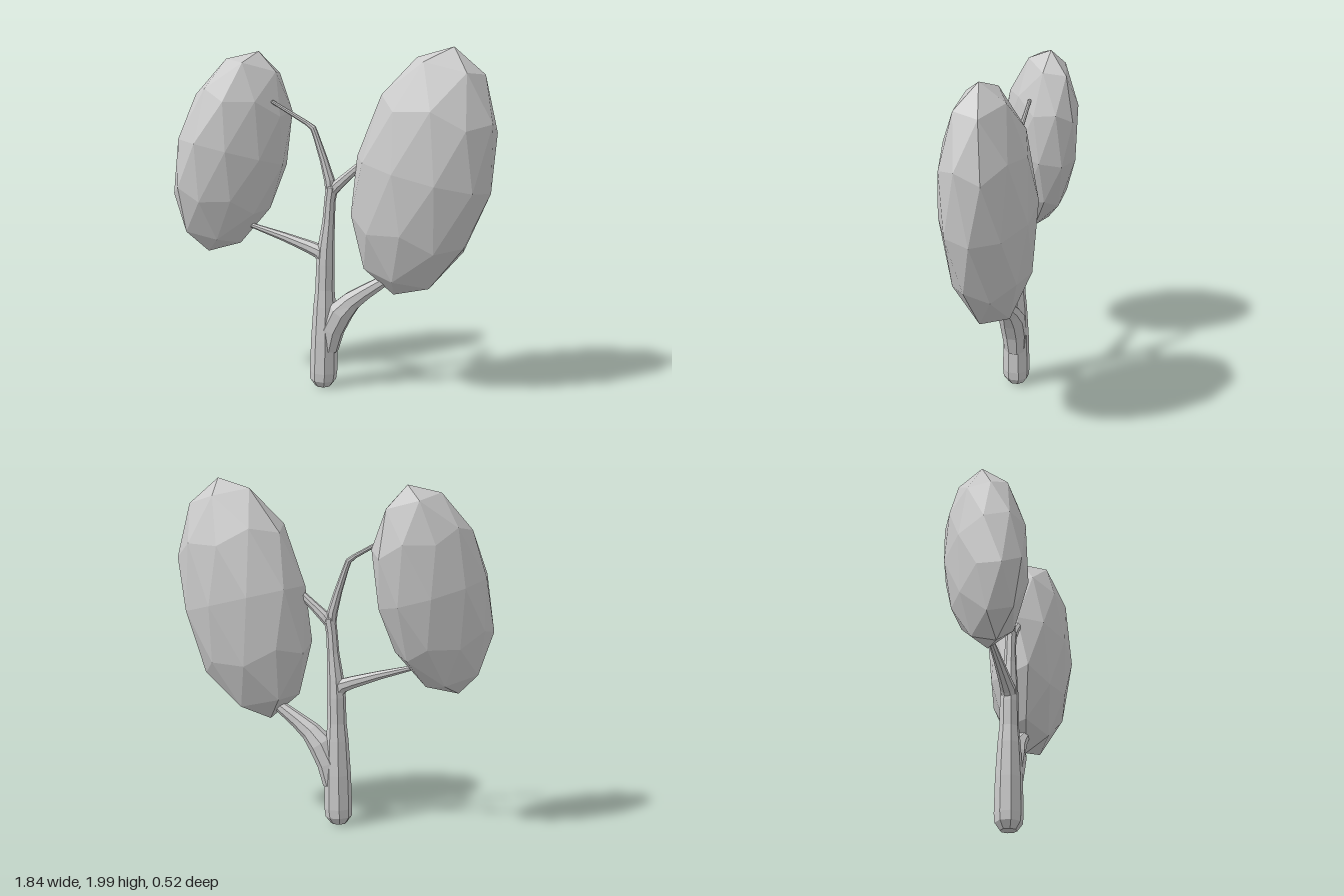
import * as THREE from 'three';

const material = new THREE.MeshStandardMaterial({ color: 0xcccccc, flatShading: true });
const SIDES = 8;

// Tapered limb lying in the xy plane: each point is [x, y, radius]
function limb(name, points) {
  const pos = [], index = [];
  points.forEach(([x, y, r], i) => {
    const a = points[Math.max(i - 1, 0)];
    const b = points[Math.min(i + 1, points.length - 1)];
    const len = Math.hypot(b[0] - a[0], b[1] - a[1]);
    const nx = (b[1] - a[1]) / len, ny = -(b[0] - a[0]) / len;
    for (let k = 0; k < SIDES; k++) {
      const t = ((k + 0.5) / SIDES) * Math.PI * 2;
      const u = r * 1.05 * Math.cos(t);
      pos.push(x + nx * u, y + ny * u, r * 1.05 * Math.sin(t));
      if (i === points.length - 1) continue;
      const p = i * SIDES + k, q = i * SIDES + (k + 1) % SIDES;
      index.push(p, p + SIDES, q, q, p + SIDES, q + SIDES);
    }
  });
  const geometry = new THREE.BufferGeometry();
  geometry.setAttribute('position', new THREE.Float32BufferAttribute(pos, 3));
  geometry.setIndex(index);
  geometry.computeVertexNormals();
  const mesh = new THREE.Mesh(geometry, material);
  mesh.name = name;
  return mesh;
}

// Faceted, flattened leaf mass with a vertex at each pole, leaning and then turned
function foliage(name, center, radii, lean, turn) {
  const geometry = new THREE.IcosahedronGeometry(1, 1);
  geometry.rotateX(-Math.atan((1 + Math.sqrt(5)) / 2));
  geometry.rotateY(Math.PI);
  geometry.scale(...radii);
  geometry.rotateZ(-lean);
  geometry.rotateY(turn);
  const mesh = new THREE.Mesh(geometry, material);
  mesh.name = name;
  mesh.position.set(...center);
  return mesh;
}

export function createModel() {
  const tree = new THREE.Group();
  tree.name = 'tree';

  // Trunk with rounded foot, narrowing above the first fork
  tree.add(limb('trunk', [
    [-0.065, 0.005, 0], [-0.065, 0.01, 0.045], [-0.065, 0.05, 0.073], [-0.062, 0.1, 0.077],
    [-0.058, 0.3, 0.073], [-0.055, 0.5, 0.062], [-0.053, 0.6, 0.053], [-0.05, 0.75, 0.051],
    [-0.045, 0.85, 0.046], [-0.03, 1.0, 0.034], [-0.022, 1.12, 0.031], [-0.01, 1.2, 0.034],
    [-0.005, 1.24, 0],
  ]));

  // Lower branches
  tree.add(limb('lowerLeftBranch', [
    [-0.05, 0.2, 0], [-0.035, 0.24, 0.06], [-0.01, 0.36, 0.071], [0.045, 0.47, 0.072],
    [0.11, 0.54, 0.056], [0.19, 0.6, 0.044], [0.3, 0.675, 0.033], [0.4, 0.76, 0.02], [0.41, 0.77, 0],
  ]));
  tree.add(limb('lowerRightBranch', [
    [-0.03, 0.74, 0], [-0.045, 0.77, 0.04], [-0.085, 0.82, 0.042], [-0.15, 0.843, 0.035],
    [-0.3, 0.89, 0.025], [-0.5, 0.945, 0.014], [-0.58, 0.97, 0.01], [-0.585, 0.972, 0],
  ]));

  // Upper fork
  tree.add(limb('upperRightBranch', [
    [-0.015, 1.12, 0], [-0.015, 1.15, 0.028], [-0.025, 1.24, 0.029], [-0.06, 1.36, 0.022],
    [-0.105, 1.49, 0.017], [-0.122, 1.533, 0.017], [-0.16, 1.56, 0.013], [-0.37, 1.675, 0.01],
    [-0.375, 1.678, 0],
  ]));
  tree.add(limb('upperLeftBranch', [
    [-0.02, 1.14, 0], [-0.015, 1.17, 0.03], [0.025, 1.215, 0.031], [0.08, 1.265, 0.026],
    [0.16, 1.335, 0.022], [0.25, 1.4, 0.015], [0.255, 1.405, 0],
  ]));

  // Leaf masses
  tree.add(foliage('leftFoliage', [0.52, 1.3, 0], [0.39, 0.718, 0.252], 0.225, 0));
  tree.add(foliage('rightFoliage', [-0.615, 1.375, 0], [0.335, 0.6, 0.205], 0.27, 0.66));
  return tree;
}
